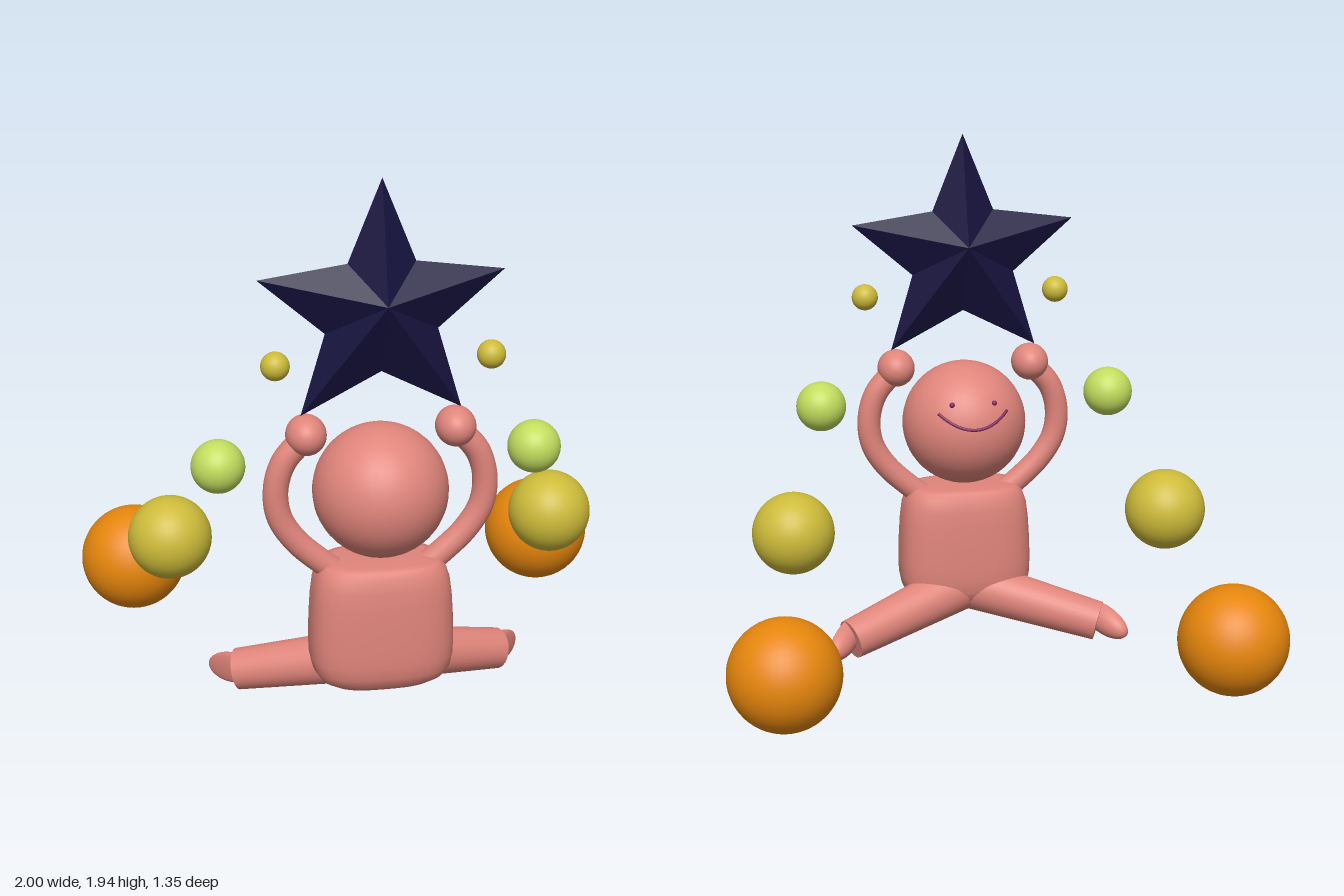
import * as THREE from 'three';
import { mergeVertices } from 'three/addons/utils/BufferGeometryUtils.js';

const paint = (color) => new THREE.MeshStandardMaterial({ color });
const V = (x, y, z) => new THREE.Vector3(x, y, z);
const UP = V(0, 1, 0);

export function createModel() {
  const model = new THREE.Group();
  const skin = paint(0xe0857b), orange = paint(0xe6860c), yellow = paint(0xcdbb3a);
  const green = paint(0xc2dc5e), faceInk = paint(0x80285f);
  const navy = new THREE.MeshStandardMaterial({ color: 0x17133f, flatShading: true });

  const add = (name, geometry, material, position) => {
    const mesh = new THREE.Mesh(geometry, material);
    mesh.name = name;
    if (position) mesh.position.copy(position);
    model.add(mesh);
    return mesh;
  };
  const ball = (name, r, material, position) =>
    add(name, new THREE.SphereGeometry(r, 40, 28), material, position);

  // Head
  const headCentre = V(0, 0.882, 0.435), headR = 0.235;
  ball('head', headR, skin, headCentre);
  // Point on the back-facing half of the head surface
  const onHead = (x, y) =>
    V(x, y, headCentre.z - Math.sqrt(headR ** 2 - x ** 2 - (y - headCentre.y) ** 2));

  // Smile and eyes
  const smile = [];
  for (let i = -6; i <= 6; i++) {
    const t = i / 6;
    smile.push(onHead(0.13 * t, 0.912 + 0.055 * t * t));
  }
  add('smile', new THREE.TubeGeometry(new THREE.CatmullRomCurve3(smile), 40, 0.006, 8), faceInk);

  // Torso: lathed profile squared off in plan
  const profile = [
    [0, 0.165], [0.5, 0.168], [0.72, 0.178], [0.87, 0.2], [0.96, 0.235], [0.995, 0.28], [1, 0.34],
    [0.99, 0.42], [0.97, 0.5], [0.94, 0.56], [0.88, 0.605], [0.79, 0.628], [0.65, 0.634], [0, 0.637],
  ].map(([r, y]) => new THREE.Vector2(r, y));
  let torso = new THREE.LatheGeometry(profile, 56);
  const p = torso.attributes.position;
  for (let i = 0; i < p.count; i++) {
    const x = p.getX(i), z = p.getZ(i), r = Math.hypot(x, z);
    if (r < 1e-6) continue;
    const n = 3;
    const k = 1 / (Math.abs(x / r) ** n + Math.abs(z / r) ** n) ** (1 / n);
    p.setX(i, x * k * 0.253);
    p.setZ(i, z * k * 0.163);
  }
  torso.deleteAttribute('uv');
  torso.deleteAttribute('normal');
  torso = mergeVertices(torso);
  torso.computeVertexNormals();
  add('torso', torso, skin, V(0, 0, 0.445));

  for (const s of [1, -1]) {
    const side = s > 0 ? 'left' : 'right';
    ball(side + 'Eye', 0.01, faceInk, onHead(s * 0.08, 1.0));

    // Arm and hand
    const arm = new THREE.CatmullRomCurve3([
      [0.13, 0.57], [0.21, 0.633], [0.3, 0.72], [0.353, 0.81], [0.364, 0.91], [0.335, 1.01], [0.257, 1.1],
    ].map(([x, y]) => V(s * x, y, 0.445)));
    add(side + 'Arm', new THREE.TubeGeometry(arm, 48, 0.044, 20), skin);
    ball(side + 'Hand', 0.07, skin, V(s * 0.258, 1.103, 0.445)).scale.z = 1.17;

    // Tapered leg
    const hip = V(s * 0.02, 0.235, 0.395), ankle = V(s * 0.48, 0.117, 0.205);
    const dir = ankle.clone().sub(hip);
    const length = dir.length();
    dir.normalize();
    const leg = add(side + 'Leg', new THREE.CylinderGeometry(0.075, 0.097, length, 32), skin,
      hip.clone().lerp(ankle, 0.5));
    leg.quaternion.setFromUnitVectors(UP, dir);

    // Foot: domed instep with a shallow bulging sole facing along the leg
    const sole = new THREE.SphereGeometry(1, 36, 10, 0, Math.PI * 2, 0, Math.PI / 2);
    const instep = new THREE.SphereGeometry(1, 36, 12, 0, Math.PI * 2, Math.PI / 2, Math.PI / 2);
    const across = V(0, 1, 0).cross(dir).normalize();
    const rise = dir.clone().cross(across);
    const turn = new THREE.Matrix4().makeBasis(across, dir, rise);
    for (const [name, geometry, depth] of [['FootSole', sole, 0.025], ['FootInstep', instep, 0.1]]) {
      geometry.scale(0.105, depth, 0.126);
      const foot = add(side + name, geometry, skin, V(s * 0.508, 0.124, 0.205));
      foot.quaternion.setFromRotationMatrix(turn);
    }

    // Floating balls
    ball(side + 'LargeBall', 0.2, orange, V(s * 0.8, 0.283, -0.477));
    ball(side + 'MediumBall', 0.15, yellow, V(s * 0.7, 0.6, 0.077));
    ball(side + 'SmallBall', 0.093, green, V(s * 0.552, 0.985, 0.385));
    ball(side + 'TinyBall', 0.049, yellow, V(s * 0.366, 1.37, 0.492));
  }

  // Faceted star: outline joined to a front and a back apex
  const half = [[0.115, 1.695], [0.417, 1.653], [0.192, 1.457], [0.276, 1.172]];
  const outline = [[0, 1.98], ...half, [0, 1.315], ...half.map(([x, y]) => [-x, y]).reverse()];
  const corners = [];
  outline.forEach(([x, y], i) => {
    const [nx, ny] = outline[(i + 1) % outline.length];
    corners.push(x, y, 0, 0, 1.575, 0.122, nx, ny, 0);
    corners.push(nx, ny, 0, 0, 1.575, -0.122, x, y, 0);
  });
  const star = new THREE.BufferGeometry();
  star.setAttribute('position', new THREE.Float32BufferAttribute(corners, 3));
  star.computeVertexNormals();
  add('star', star, navy, V(0, 0, 0.445));

  return model;
}
